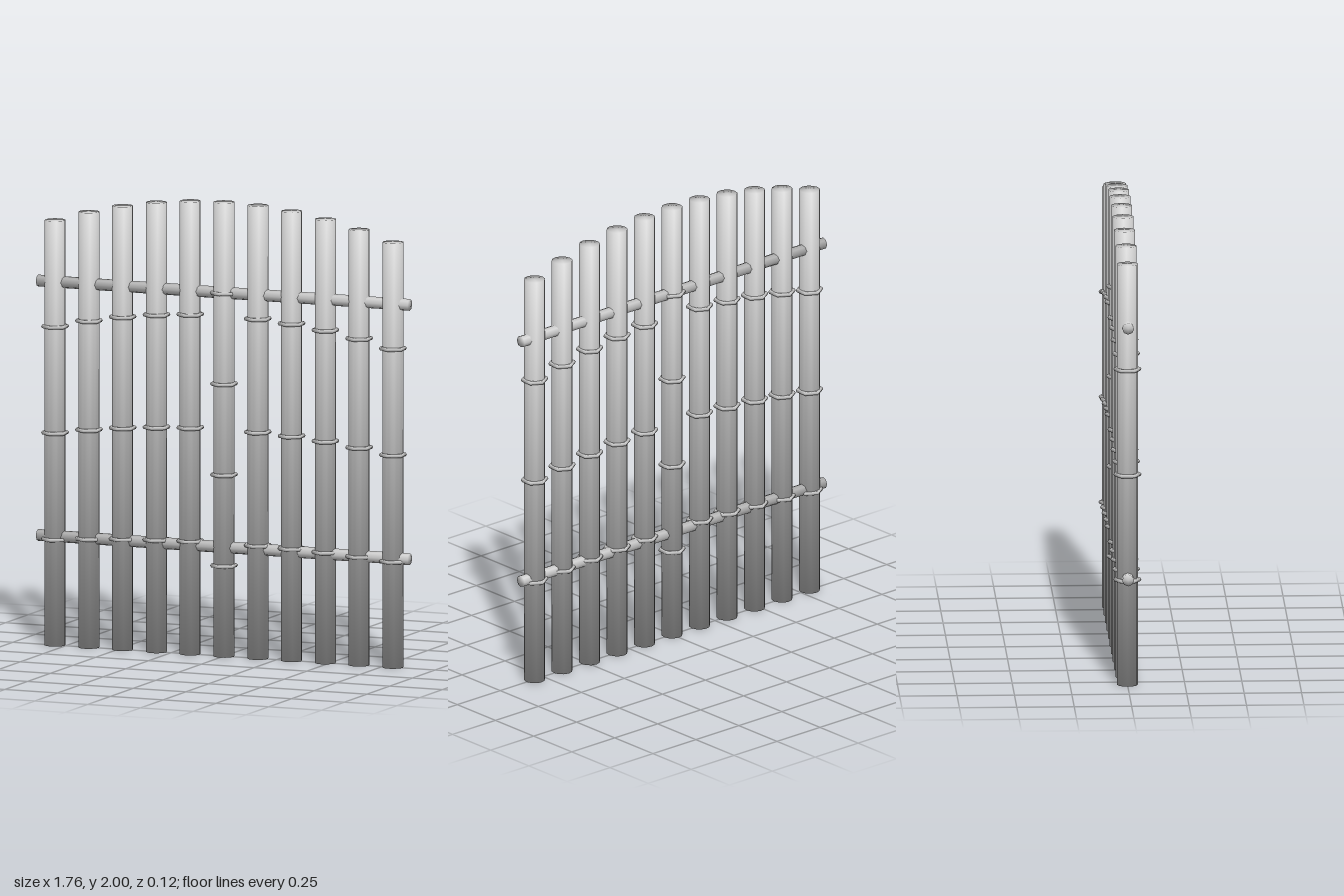
import * as THREE from 'three';

// Capped rod along y whose shading rolls softly over its ends.
function softRod(radius, length, sides) {
  const geo = new THREE.CylinderGeometry(radius, radius, length, sides, 1);
  const pos = geo.attributes.position;
  const normal = geo.attributes.normal;
  const n = new THREE.Vector3();
  for (let i = 0; i < pos.count; i++) {
    const end = Math.sign(pos.getY(i));
    n.set(pos.getX(i) / radius, end * 0.8, pos.getZ(i) / radius).normalize();
    normal.setXYZ(i, n.x, n.y, n.z);
  }
  return geo;
}

export function createModel() {
  const group = new THREE.Group();
  const cane = new THREE.MeshStandardMaterial({ name: 'paleGrey', color: 0xcccccc });

  const add = (name, geo, x, y, parent = group) => {
    const mesh = new THREE.Mesh(geo, cane);
    mesh.name = name;
    mesh.position.set(x, y, 0);
    parent.add(mesh);
    return mesh;
  };

  // Six-sided joint ring, corners pointing to the front and back
  const ringGeo = new THREE.TorusGeometry(0.052, 0.009, 6, 6);
  ringGeo.rotateX(Math.PI / 2).rotateY(Math.PI / 6);

  // Upright canes, their tops following a shallow arch
  for (let i = -5; i <= 5; i++) {
    const x = i * 0.16;
    const height = 2 - 0.2 * x * x;
    const pole = new THREE.Group();
    pole.name = 'cane' + (i + 6);
    pole.position.x = x;
    group.add(pole);
    add('caneStem', softRod(0.046, height, 12), 0, height / 2, pole);

    // Joints split each cane evenly; the tallest has one more
    const parts = i === 0 ? 5 : 4;
    for (let k = 1; k < parts; k++) {
      add('jointRing', ringGeo, 0, (height * k) / parts, pole);
    }
  }

  // Cross rails through the canes
  const railGeo = softRod(0.026, 1.76, 8).rotateZ(Math.PI / 2);
  add('lowerRail', railGeo, 0, 0.48);
  add('upperRail', railGeo, 0, 1.6);

  return group;
}
